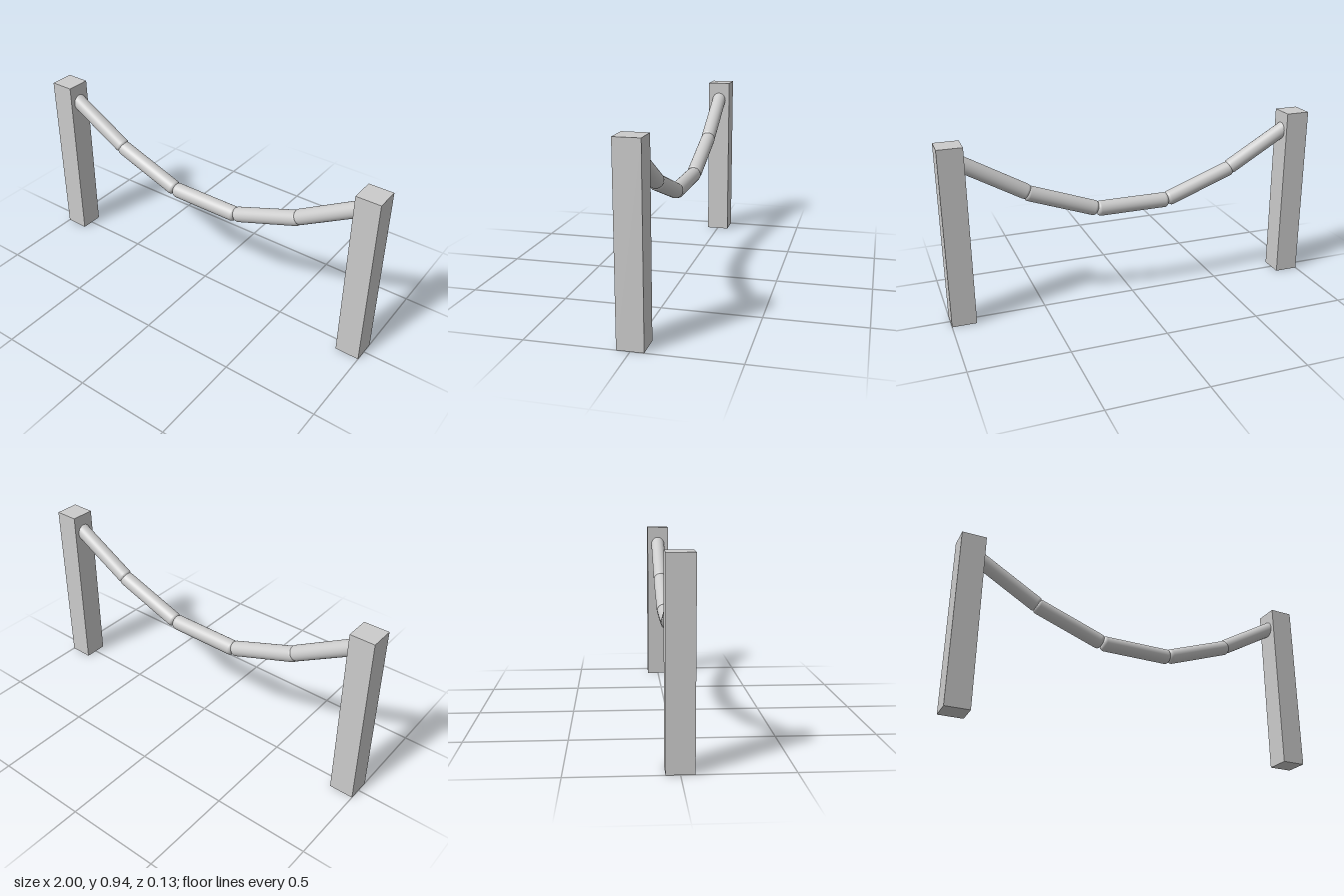
import * as THREE from 'three';

const material = new THREE.MeshStandardMaterial({ color: 0xcccccc });

// Round bar along y with softly rounded end rims
function barGeometry(radius, length, rim) {
  const half = length / 2, steps = 6;
  const points = [new THREE.Vector2(0, -half)];
  for (const end of [-1, 1]) {
    for (let i = 0; i <= steps; i++) {
      const t = (end < 0 ? i : steps - i) / steps * Math.PI / 2;
      points.push(new THREE.Vector2(
        radius - rim + rim * Math.sin(t),
        end * (half - rim + rim * Math.cos(t))
      ));
    }
  }
  points.push(new THREE.Vector2(0, half));
  return new THREE.LatheGeometry(points, 32);
}

export function createModel() {
  const group = new THREE.Group();
  const bar = barGeometry(0.04, 0.4, 0.02);
  const post = new THREE.BoxGeometry(0.127, 0.938, 0.127);

  function addLink(name, x, y, tilt) {
    const link = new THREE.Mesh(bar, material);
    link.name = name;
    link.position.set(x, y, 0);
    link.rotation.z = -Math.PI / 2 + THREE.MathUtils.degToRad(tilt);
    group.add(link);
  }

  // Lowest link of the sagging chain
  addLink('middleLink', 0, 0.514, 0);

  // Posts and rising links, mirrored
  for (const [side, s] of [['left', 1], ['right', -1]]) {
    const mesh = new THREE.Mesh(post, material);
    mesh.name = side + 'Post';
    mesh.position.set(s * 0.9365, 0.469, 0);
    group.add(mesh);
    addLink(side + 'InnerLink', s * 0.385, 0.584, s * 20);
    addLink(side + 'OuterLink', s * 0.73, 0.75, s * 30);
  }
  return group;
}
